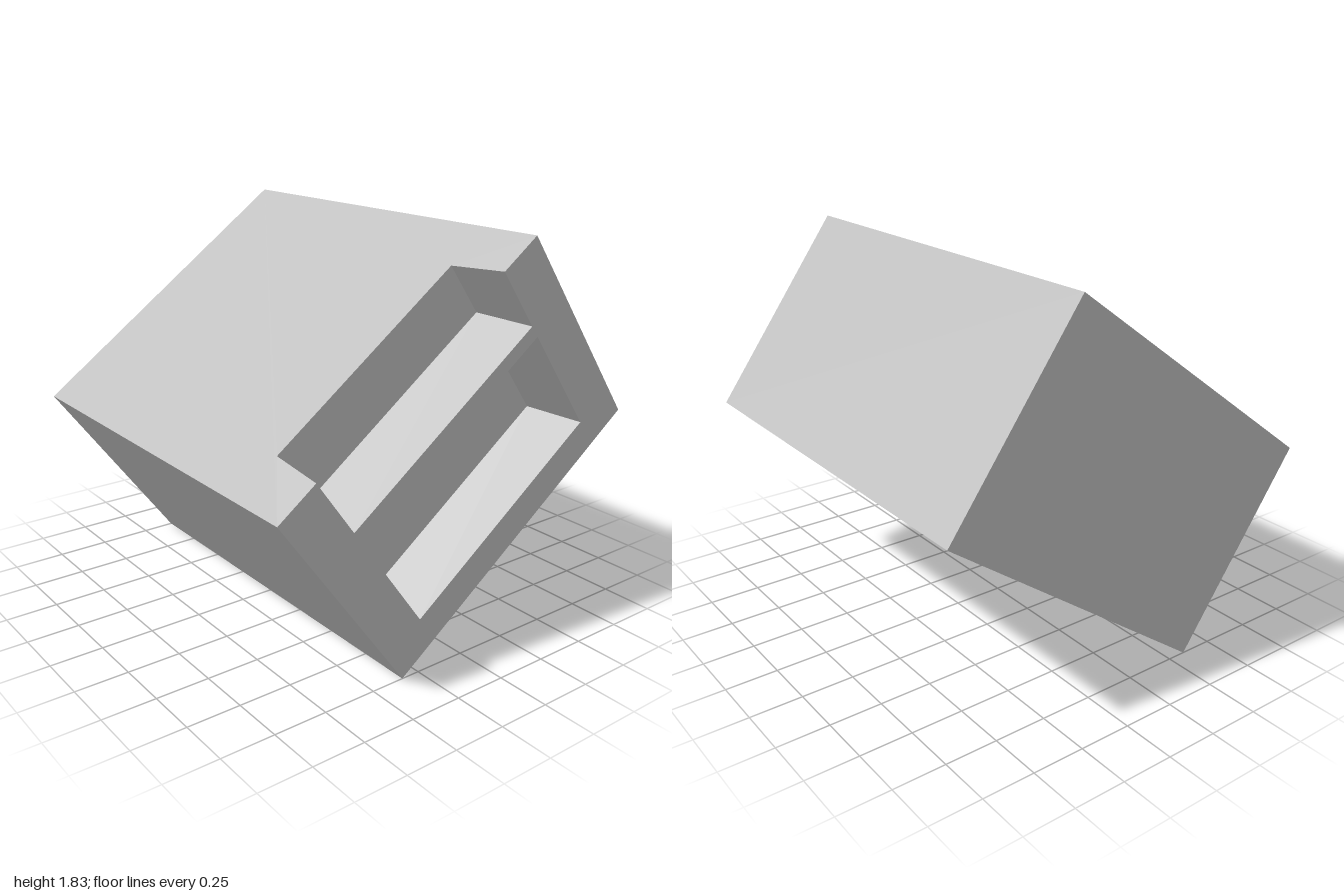
import * as THREE from 'three';
import { mergeGeometries } from 'three/addons/utils/BufferGeometryUtils.js';

const W = 0.81, H = 0.5425, D = 1;   // half sizes of the block
const FLOOR = 0.71;                  // z of the recess floors
const TILT = 0.625;                  // roll about z

// Flat four-cornered face, corners counter-clockwise seen from outside
function quad(a, b, c, d) {
  const g = new THREE.BufferGeometry();
  g.setAttribute('position', new THREE.Float32BufferAttribute([a, b, c, a, c, d].flat(), 3));
  g.computeVertexNormals();
  return g;
}

// Flat outline with optional hole, facing +z
function panel(points, hole) {
  const toVectors = (list) => list.map(([x, y]) => new THREE.Vector2(x, y));
  const shape = new THREE.Shape(toVectors(points));
  if (hole) shape.holes.push(new THREE.Path(toVectors(hole)));
  const g = new THREE.ShapeGeometry(shape).toNonIndexed();
  g.deleteAttribute('uv');
  return g;
}

// Corners: top left, bottom left, bottom right, top right
const rect = (w, bottom, top) => [[-w, top], [-w, bottom], [w, bottom], [w, top]];

// Sloping walls from rim to floor, plus the floor itself
function recess(rim, floor, wallCount) {
  const f = rim.map(([x, y]) => [x, y, D]);
  const b = floor.map(([x, y]) => [x, y, FLOOR]);
  const faces = [quad(...b)];
  for (let i = 0; i < wallCount; i++) {
    const j = (i + 1) % 4;
    faces.push(quad(f[i], f[j], b[j], b[i]));
  }
  return mergeGeometries(faces);
}

export function createModel() {
  const grey = new THREE.MeshStandardMaterial({ color: 0xc0c0c0 });
  grey.name = 'plain grey';

  const lowerRim = rect(0.588, -0.391, 0.165), lowerFloor = rect(0.561, -0.36, 0.133);
  const upperRim = rect(0.588, 0.228, H), upperFloor = rect(0.561, 0.264, H);

  // Front face: notched at the top, with a window cut through
  const front = panel([[-W, H], [-W, -H], [W, -H], [W, H], ...[...upperRim].reverse()], lowerRim);
  front.translate(0, 0, D);

  // Top face: cut away where the upper recess opens
  const top = panel([
    [-W, -D], [-0.588, -D], [-0.561, -FLOOR], [0.561, -FLOOR], [0.588, -D],
    [W, -D], [W, D], [-W, D],
  ]);
  top.rotateX(-Math.PI / 2).translate(0, H, 0);

  const shell = mergeGeometries([
    front,
    top,
    quad([W, -H, -D], [-W, -H, -D], [-W, H, -D], [W, H, -D]),  // back
    quad([-W, -H, -D], [W, -H, -D], [W, -H, D], [-W, -H, D]),  // underside
    quad([W, -H, D], [W, -H, -D], [W, H, -D], [W, H, D]),      // left side
    quad([-W, -H, -D], [-W, -H, D], [-W, H, D], [-W, H, -D]),  // right side
  ]);

  const block = new THREE.Group();
  block.name = 'tiltedBlock';
  const add = (name, geometry) => {
    const mesh = new THREE.Mesh(geometry, grey);
    mesh.name = name;
    block.add(mesh);
  };
  add('blockShell', shell);
  add('lowerRecess', recess(lowerRim, lowerFloor, 4));
  add('upperRecess', recess(upperRim, upperFloor, 3));

  // Roll the block onto its lower edge
  block.rotation.z = TILT;
  block.position.y = W * Math.sin(TILT) + H * Math.cos(TILT);

  const model = new THREE.Group();
  model.name = 'model';
  model.add(block);
  return model;
}
